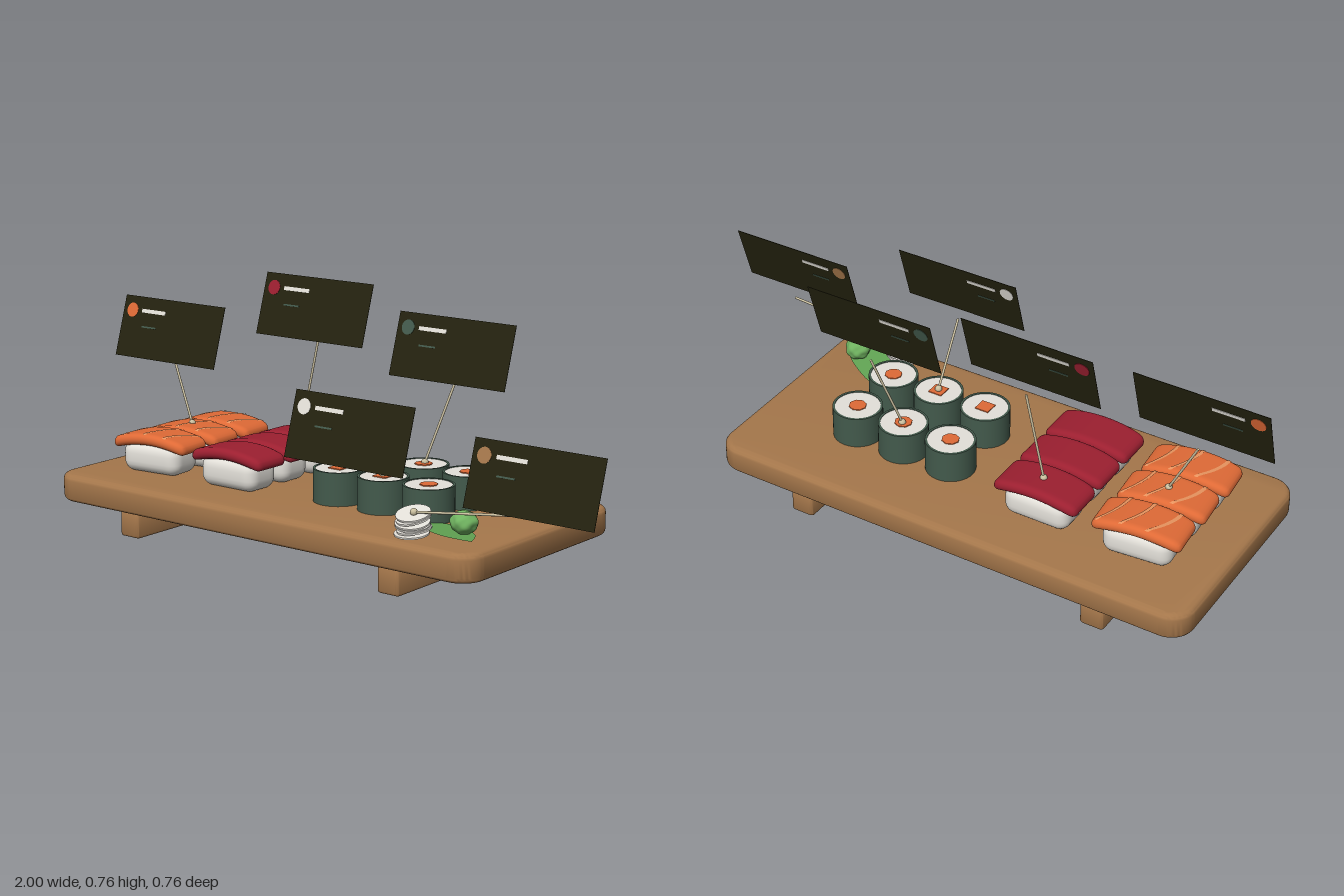
import * as THREE from 'three';
import { mergeVertices, toCreasedNormals } from 'three/addons/utils/BufferGeometryUtils.js';

const mat = (name, color, side = THREE.FrontSide) => {
  const m = new THREE.MeshStandardMaterial({ color, side });
  m.name = name;
  return m;
};
const wood = mat('wood', 0xa5774b);
const salmon = mat('salmon', 0xdf6a36);
const fat = mat('salmonFat', 0xeb9660, THREE.DoubleSide);
const tuna = mat('tuna', 0x9c1f30);
const rice = mat('rice', 0xe4e1da);
const nori = mat('nori', 0x435a4c);
const wasabi = mat('wasabi', 0x70b360);
const leafGreen = mat('leafGreen', 0x62a554, THREE.DoubleSide);
const bamboo = mat('bamboo', 0xcabf9f);
const slate = mat('slate', 0x24220f);

function add(parent, name, geometry, material, x = 0, y = 0, z = 0) {
  const mesh = new THREE.Mesh(geometry, material);
  mesh.name = name;
  mesh.position.set(x, y, z);
  parent.add(mesh);
  return mesh;
}

function group(parent, name, x = 0, y = 0, z = 0) {
  const g = new THREE.Group();
  g.name = name;
  g.position.set(x, y, z);
  parent.add(g);
  return g;
}

// Finely divided box with rounded edges; warp(v) may bend the result
function softBox(w, h, d, r, warp) {
  let geo = new THREE.BoxGeometry(w, h, d, 24, 8, 18);
  const inner = new THREE.Vector3(w / 2 - r, h / 2 - r, d / 2 - r);
  const p = geo.attributes.position, v = new THREE.Vector3(), c = new THREE.Vector3();
  for (let i = 0; i < p.count; i++) {
    v.fromBufferAttribute(p, i);
    c.copy(v).clamp(inner.clone().negate(), inner);
    v.sub(c).setLength(r).add(c);
    if (warp) warp(v);
    p.setXYZ(i, v.x, v.y, v.z);
  }
  geo.deleteAttribute('normal');
  geo.deleteAttribute('uv');
  geo = mergeVertices(geo, 1e-5);
  geo.computeVertexNormals();
  return geo;
}

// Slab with rounded plan corners and bevelled edges, bottom at y = 0
function slab(w, h, d, r, bevel) {
  const x = w / 2 - bevel, y = d / 2 - bevel, s = new THREE.Shape(), q = r - bevel;
  s.moveTo(-x + q, -y);
  s.lineTo(x - q, -y);
  s.absarc(x - q, -y + q, q, -Math.PI / 2, 0);
  s.absarc(x - q, y - q, q, 0, Math.PI / 2);
  s.absarc(-x + q, y - q, q, Math.PI / 2, Math.PI);
  s.absarc(-x + q, -y + q, q, Math.PI, Math.PI * 1.5);
  const geo = new THREE.ExtrudeGeometry(s, {
    depth: h - 2 * bevel, bevelSize: bevel, bevelThickness: bevel, bevelSegments: 4, curveSegments: 8,
  });
  geo.rotateX(-Math.PI / 2).translate(0, bevel, 0);
  return toCreasedNormals(geo, 0.6);
}

// Fish slice: half sizes, edge radius, droop at the ends
const HX = 0.136, HY = 0.018, HZ = 0.071, R = 0.018, DROOP = 0.022;
const bend = (v) => {
  const t = v.x / HX;
  v.z *= 1 - 0.1 * t ** 4;
  v.y -= DROOP * t * t;
};

// Diagonal fat line lying on the top of a slice
function fatLine(x0) {
  const geo = new THREE.PlaneGeometry(0.011, 0.128, 1, 20).rotateX(-Math.PI / 2);
  const p = geo.attributes.position, v = new THREE.Vector3();
  for (let i = 0; i < p.count; i++) {
    v.fromBufferAttribute(p, i);
    v.x += x0 - 0.45 * v.z + 3 * v.z * v.z;
    const dz = Math.max(Math.abs(v.z) - (HZ - R), 0);
    v.y = HY - R + Math.sqrt(R * R - dz * dz) + 0.0025;
    bend(v);
    p.setXYZ(i, v.x, v.y, v.z);
  }
  geo.computeVertexNormals();
  return geo;
}

function addNigiri(root) {
  const riceGeo = softBox(0.212, 0.097, 0.128, 0.036);
  const fishGeo = softBox(HX * 2, HY * 2, HZ * 2, R, bend);
  const lines = [-0.075, 0.005, 0.08].map(fatLine);
  [[-0.695, salmon, 0.09, 'salmonNigiri'], [-0.375, tuna, 0, 'tunaNigiri']].forEach(([x, m, turn, name]) => {
    for (const z of [-0.162, -0.014, 0.134]) {
      const g = group(root, name, x, 0.163, z);
      g.rotation.y = turn;
      add(g, 'riceBlock', riceGeo, rice, 0, 0.0485, 0);
      add(g, 'fishSlice', fishGeo, m, 0, 0.108, 0);
      if (m === salmon) lines.forEach((l) => add(g, 'fatLine', l, fat, 0, 0.108, 0));
    }
  });
}

function addRolls(root) {
  const wrap = new THREE.LatheGeometry(
    [[0, 0], [0.076, 0], [0.076, 0], [0.076, 0.1], [0.076, 0.1], [0.069, 0.1], [0.069, 0.1], [0.069, 0.09]]
      .map(([x, y]) => new THREE.Vector2(x, y)), 40);
  const core = new THREE.CylinderGeometry(0.0695, 0.0695, 0.097, 40);
  const round = new THREE.CylinderGeometry(0.027, 0.027, 0.006, 8);
  const square = new THREE.BoxGeometry(0.045, 0.006, 0.045);
  [-0.112, 0.083].forEach((z, row) => [-0.028, 0.137, 0.3].forEach((x, i) => {
    const g = group(root, 'roll', x, 0.163, z);
    add(g, 'noriWrap', wrap, nori);
    add(g, 'riceCore', core, rice, 0, 0.0495, 0);
    add(g, 'filling', row && i < 2 ? square : round, salmon, 0, 0.098, 0);
  }));
}

function addGarnish(root) {
  // Stack of thin tilted ginger slices
  const slice = new THREE.CylinderGeometry(0.05, 0.05, 0.005, 28);
  const stack = group(root, 'gingerStack', 0.392, 0, 0.28);
  for (let i = 0; i < 6; i++) {
    const s = add(stack, 'gingerSlice', slice, rice, 0.004 * Math.sin(i * 2.3), 0.177 + i * 0.0105, 0.006 * Math.cos(i * 2));
    s.rotation.set(0.1 + 0.035 * i, 0, 0.1 * Math.sin(i * 1.9));
  }

  // Leaf lying at a slight slope
  const outline = new THREE.Shape();
  outline.moveTo(0.345, -0.15);
  outline.bezierCurveTo(0.36, -0.09, 0.43, -0.12, 0.5, -0.165);
  outline.bezierCurveTo(0.56, -0.2, 0.58, -0.25, 0.605, -0.3);
  outline.bezierCurveTo(0.53, -0.3, 0.47, -0.28, 0.42, -0.245);
  outline.bezierCurveTo(0.38, -0.215, 0.35, -0.19, 0.345, -0.15);
  const leaf = new THREE.ShapeGeometry(outline, 10).rotateX(-Math.PI / 2);
  const lp = leaf.attributes.position;
  for (let i = 0; i < lp.count; i++) {
    lp.setY(i, 0.178 + 0.04 * (lp.getX(i) - 0.475) + 0.08 * (lp.getZ(i) - 0.205));
  }
  leaf.computeVertexNormals();
  add(root, 'leaf', leaf, leafGreen);

  // Lumpy wasabi ball
  let ball = new THREE.IcosahedronGeometry(0.039, 8);
  ball.deleteAttribute('normal');
  ball.deleteAttribute('uv');
  ball = mergeVertices(ball, 1e-5);
  const p = ball.attributes.position, v = new THREE.Vector3();
  for (let i = 0; i < p.count; i++) {
    v.fromBufferAttribute(p, i);
    v.multiplyScalar(1 + 0.05 * Math.sin(v.x * 170 + 1) * Math.sin(v.y * 150) + 0.04 * Math.sin(v.z * 190 + v.x * 90));
    p.setXYZ(i, v.x, v.y * 0.86, v.z);
  }
  ball.computeVertexNormals();
  add(root, 'wasabiBall', ball, wasabi, 0.516, 0.212, 0.21);
}

// Label card leaning back, with a bamboo pick running down to the food
function addCard(root, dotMat, base, center) {
  const g = group(root, 'labelCard');
  const from = new THREE.Vector3(...base);
  const to = new THREE.Vector3(center[0], center[1] - 0.094, center[2] - 0.021);
  const dir = to.clone().sub(from);
  const pick = add(g, 'pick', new THREE.CylinderGeometry(0.0038, 0.0038, dir.length(), 10), bamboo);
  pick.position.copy(from).addScaledVector(dir, 0.5);
  pick.quaternion.setFromUnitVectors(new THREE.Vector3(0, 1, 0), dir.normalize());
  add(g, 'pickBead', new THREE.SphereGeometry(0.011, 16, 12), bamboo, ...base);

  const card = group(g, 'card', ...center);
  card.rotation.x = -0.3;
  add(card, 'panel', new THREE.BoxGeometry(0.418, 0.195, 0.0015), slate);
  // Marks go through the panel so they show on both faces
  add(card, 'dot', new THREE.CylinderGeometry(0.023, 0.023, 0.004, 24).rotateX(Math.PI / 2), dotMat, -0.17, 0.052, 0);
  add(card, 'titleBar', new THREE.BoxGeometry(0.1, 0.012, 0.004), rice, -0.08, 0.053, 0);
  add(card, 'detailBar', new THREE.BoxGeometry(0.06, 0.005, 0.004), nori, -0.09, 0.002, 0);
}

export function createModel() {
  const root = new THREE.Group();
  root.name = 'sushiBoard';

  // Serving board on two feet
  add(root, 'board', slab(1.575, 0.085, 0.738, 0.075, 0.018), wood, -0.152, 0.078, -0.014);
  for (const x of [-0.645, 0.342]) {
    add(root, 'foot', slab(0.077, 0.08, 0.69, 0.012, 0.007), wood, x, 0, -0.014);
  }

  addNigiri(root);
  addRolls(root);
  addGarnish(root);

  addCard(root, salmon, [-0.695, 0.289, -0.014], [-0.79, 0.569, -0.02]);
  addCard(root, tuna, [-0.372, 0.289, -0.162], [-0.325, 0.668, -0.168]);
  addCard(root, nori, [0.137, 0.265, -0.118], [0.195, 0.599, -0.168]);
  addCard(root, rice, [0.137, 0.268, 0.083], [0.221, 0.448, 0.35]);
  addCard(root, wood, [0.395, 0.236, 0.28], [0.788, 0.376, 0.278]);
  return root;
}
